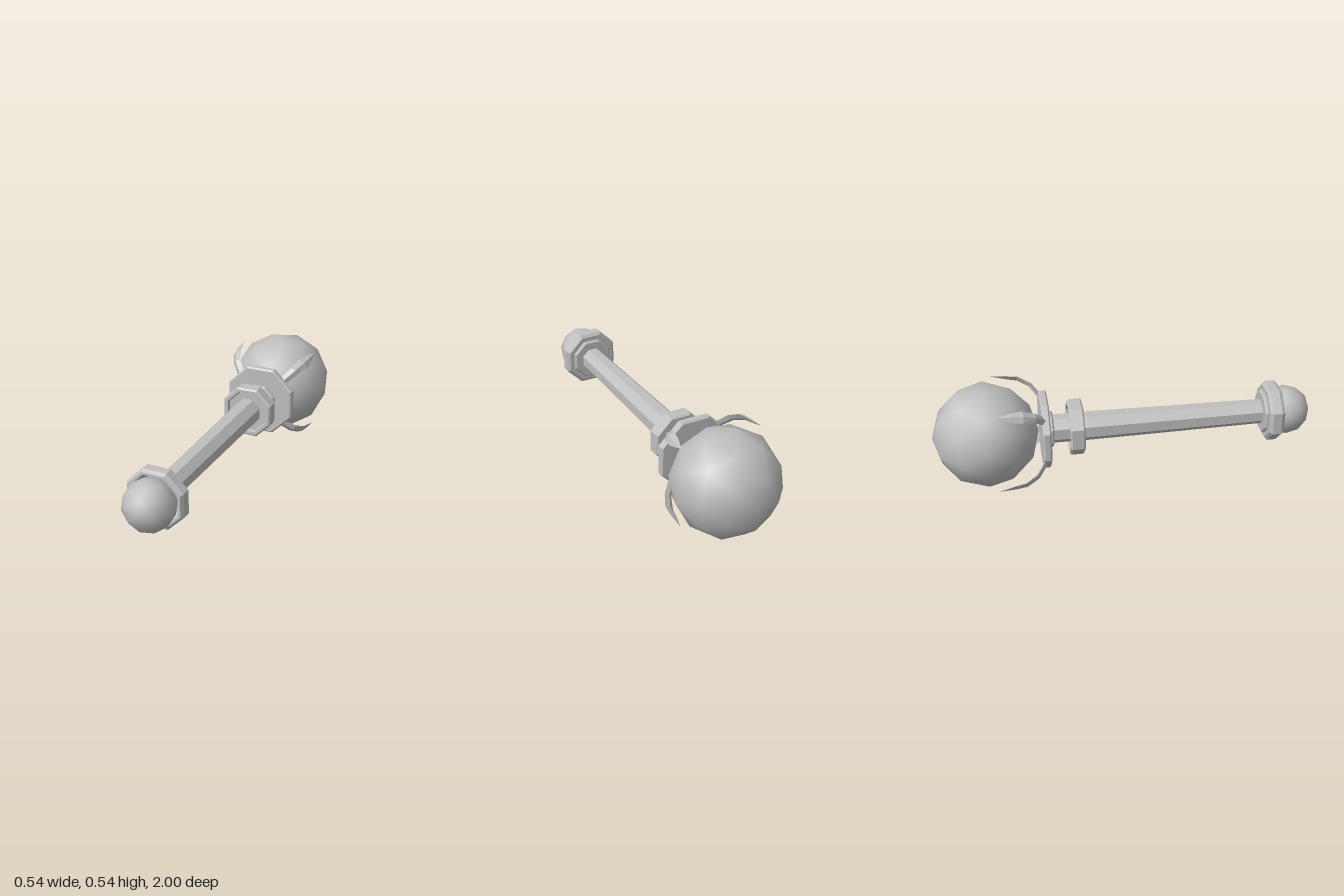
import * as THREE from 'three';

const AXIS_Y = 0.274; // height of the long axis
const grey = new THREE.MeshStandardMaterial({ color: 0xbfbfbf });
grey.name = 'grey';

// Gives every face its own flat normal
function faceted(geometry) {
  const flat = geometry.index ? geometry.toNonIndexed() : geometry;
  flat.computeVertexNormals();
  return flat;
}

function add(group, name, geometry) {
  const mesh = new THREE.Mesh(geometry, grey);
  mesh.name = name;
  group.add(mesh);
  return mesh;
}

// Eight-sided turned part along z; profile is [half width across flats, z], from back to front
function octagonal(profile) {
  const k = 1 / Math.cos(Math.PI / 8);
  const points = profile.map(([r, z]) => new THREE.Vector2(r * k, z));
  return faceted(new THREE.LatheGeometry(points, 8, Math.PI / 8).rotateX(Math.PI / 2));
}

// Smooth low-poly ball with a vertex on the z axis
function ball(radius, z) {
  const golden = (1 + Math.sqrt(5)) / 2;
  return new THREE.IcosahedronGeometry(radius, 1)
    .rotateX(Math.atan(1 / golden))
    .rotateZ(THREE.MathUtils.degToRad(27))
    .translate(0, 0, z);
}

// Curved pointed claw: diamond sections [radius, z, half width, thickness] swept to a tip
function clawGeometry() {
  const sections = [
    [0.16, -0.42, 0.022, 0.014],
    [0.245, -0.48, 0.026, 0.014],
    [0.283, -0.54, 0.032, 0.013],
    [0.293, -0.6, 0.024, 0.01],
    [0.307, -0.68, 0, 0],
  ];
  const positions = [];
  const index = [];
  sections.forEach(([r, z, w, t], i) => {
    const before = sections[Math.max(i - 1, 0)];
    const after = sections[Math.min(i + 1, sections.length - 1)];
    const dir = new THREE.Vector2(after[0] - before[0], after[1] - before[1]).normalize();
    const nr = -dir.y, nz = dir.x; // outward normal of the path
    positions.push(
      r + nr * t, 0, z + nz * t,
      r, w, z,
      r - nr * t * 0.6, 0, z - nz * t * 0.6,
      r, -w, z,
    );
    if (i === 0) return;
    for (let j = 0; j < 4; j++) {
      const a = (i - 1) * 4 + j, b = (i - 1) * 4 + (j + 1) % 4;
      index.push(a, a + 4, b + 4, a, b + 4, b);
    }
  });
  index.push(0, 1, 2, 0, 2, 3); // base cap
  const geometry = new THREE.BufferGeometry();
  geometry.setAttribute('position', new THREE.Float32BufferAttribute(positions, 3));
  geometry.setIndex(index);
  return faceted(geometry);
}

export function createModel() {
  const model = new THREE.Group();
  model.name = 'scepter';
  const body = new THREE.Group();
  body.name = 'body';
  body.position.y = AXIS_Y;
  model.add(body);

  // Balls at both ends
  add(body, 'headOrb', ball(0.274, -0.726));
  add(body, 'pommelBall', ball(0.131, 0.869));

  // Slightly tapered grip
  add(body, 'shaft', octagonal([[0.069, -0.41], [0.07, -0.2], [0.06, 0.78]]));

  // Stepped cup holding the pommel ball
  add(body, 'pommelCup', octagonal([
    [0.05, 0.735], [0.1, 0.735], [0.108, 0.742], [0.108, 0.752], [0.132, 0.752],
    [0.148, 0.766], [0.148, 0.812], [0.137, 0.83], [0.125, 0.83], [0.105, 0.79], [0, 0.79],
  ]));

  // Raised ring near the head, recessed on both faces
  add(body, 'collar', octagonal([
    [0.06, -0.28], [0.106, -0.28], [0.112, -0.298], [0.128, -0.298], [0.136, -0.29],
    [0.136, -0.23], [0.128, -0.222], [0.112, -0.222], [0.106, -0.24], [0.06, -0.24],
  ]));

  // Plate under the orb with a small step around the shaft
  add(body, 'headPlate', octagonal([
    [0, -0.442], [0.18, -0.442], [0.188, -0.434], [0.188, -0.408], [0.18, -0.4],
    [0.09, -0.4], [0.09, -0.385], [0.08, -0.378], [0.06, -0.378],
  ]));

  // Four claws on the diagonals
  const claw = clawGeometry();
  for (let i = 0; i < 4; i++) {
    add(body, 'claw', claw).rotation.z = Math.PI / 4 + i * Math.PI / 2;
  }
  return model;
}
